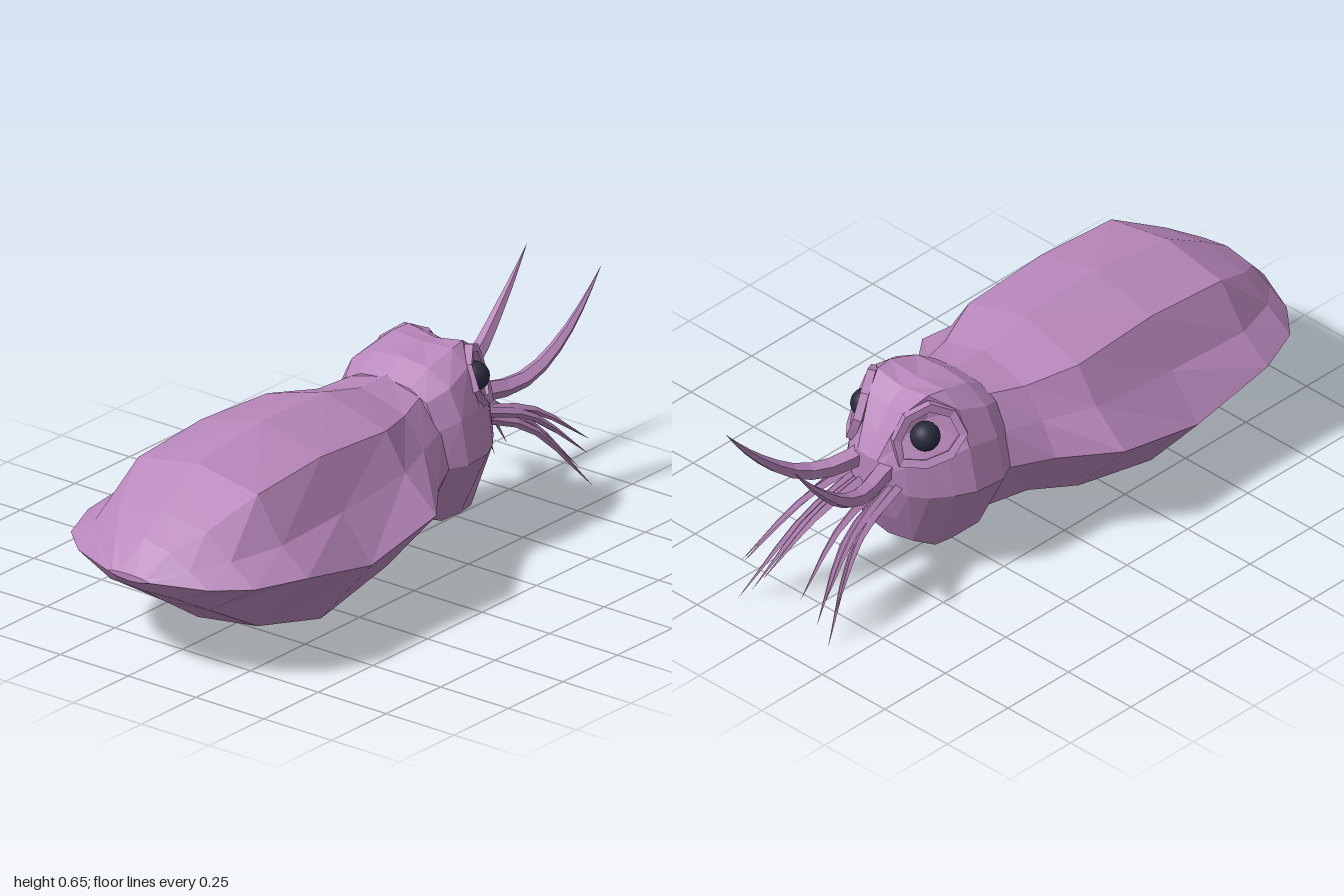
import * as THREE from 'three';

const skin = new THREE.MeshStandardMaterial({ color: 0xb887bb, flatShading: true, side: THREE.DoubleSide });
const dark = new THREE.MeshStandardMaterial({ color: 0x2b2a3c });

function mesh(name, geometry, material = skin) {
  const m = new THREE.Mesh(geometry, material);
  m.name = name;
  return m;
}

// Mirrored loft: each section is { z, half } where half runs [x, y] from top centre to bottom centre.
function loft(sections) {
  const rings = sections.map(({ z, half }) => [
    ...half.map(([x, y]) => [x, y, z]),
    ...half.slice(1, -1).reverse().map(([x, y]) => [-x, y, z]),
  ]);
  const n = rings[0].length, pos = [];
  const tri = (a, b, c) => pos.push(...a, ...b, ...c);
  for (let i = 0; i < rings.length - 1; i++) {
    for (let j = 0; j < n; j++) {
      const k = (j + 1) % n;
      const a = rings[i][j], b = rings[i][k], c = rings[i + 1][j], d = rings[i + 1][k];
      if (j < n / 2) { tri(a, b, c); tri(b, d, c); }
      else { tri(a, b, d); tri(a, d, c); }
    }
  }
  const centre = (r) => [0, (r[0][1] + r[n / 2][1]) / 2, r[0][2]];
  const first = rings[0], last = rings[rings.length - 1];
  for (let j = 0; j < n; j++) {
    const k = (j + 1) % n;
    tri(centre(first), first[k], first[j]);
    tri(centre(last), last[j], last[k]);
  }
  const g = new THREE.BufferGeometry();
  g.setAttribute('position', new THREE.Float32BufferAttribute(pos, 3));
  g.computeVertexNormals();
  return g;
}

// Tube whose radius follows a taper down to a point
function taperedArm(points, radius, steps, sides) {
  const curve = new THREE.CatmullRomCurve3(points.map((p) => new THREE.Vector3(...p)));
  const g = new THREE.TubeGeometry(curve, steps, radius, sides);
  const p = g.attributes.position, v = new THREE.Vector3();
  for (let i = 0; i < p.count; i++) {
    const t = Math.floor(i / (sides + 1)) / steps;
    const c = curve.getPointAt(t);
    v.fromBufferAttribute(p, i).sub(c).multiplyScalar(1 - Math.pow(t, 1.6)).add(c);
    p.setXYZ(i, v.x, v.y, v.z);
  }
  g.computeVertexNormals();
  return g;
}

const mirrorX = (pts, s) => pts.map(([x, y, z]) => [x * s, y, z]);

export function createModel() {
  const model = new THREE.Group();
  model.name = 'cuttlefish';

  // Mantle: z, then top, shoulder, upper flank, side, lower flank, bottom
  const mantle = [
    [1.0, [0, 0.32], [0.03, 0.32], [0.06, 0.317], [0.08, 0.312], [0.04, 0.303], [0, 0.3]],
    [0.93, [0, 0.408], [0.1, 0.39], [0.17, 0.35], [0.24, 0.308], [0.12, 0.25], [0, 0.245]],
    [0.84, [0, 0.467], [0.16, 0.44], [0.25, 0.37], [0.34, 0.308], [0.17, 0.2], [0, 0.185]],
    [0.68, [0, 0.56], [0.22, 0.52], [0.31, 0.385], [0.405, 0.308], [0.22, 0.11], [0, 0.08]],
    [0.39, [0, 0.597], [0.22, 0.542], [0.3, 0.39], [0.407, 0.253], [0.22, 0.037], [0, 0.002]],
    [0.09, [0, 0.587], [0.22, 0.523], [0.29, 0.41], [0.405, 0.308], [0.22, 0.1], [0, 0.067]],
    [-0.07, [0, 0.547], [0.16, 0.5], [0.23, 0.41], [0.285, 0.308], [0.17, 0.14], [0, 0.125]],
    [-0.2, [0, 0.545], [0.12, 0.515], [0.19, 0.42], [0.22, 0.308], [0.14, 0.14], [0, 0.125]],
  ];
  model.add(mesh('mantle', loft(mantle.map(([z, ...half]) => ({ z, half })))));

  // Head: the third and fourth points sink inwards around the eye sockets
  const head = [
    [-0.18, [0, 0.54], [0.09, 0.53], [0.15, 0.5], [0.19, 0.42], [0.215, 0.31], [0.13, 0.14], [0, 0.125]],
    [-0.25, [0, 0.585], [0.1, 0.575], [0.18, 0.53], [0.225, 0.44], [0.25, 0.31], [0.15, 0.11], [0, 0.09]],
    [-0.35, [0, 0.598], [0.11, 0.605], [0.165, 0.56], [0.21, 0.45], [0.24, 0.31], [0.14, 0.1], [0, 0.08]],
    [-0.41, [0, 0.59], [0.1, 0.608], [0.1, 0.53], [0.18, 0.43], [0.21, 0.31], [0.13, 0.1], [0, 0.08]],
    [-0.47, [0, 0.555], [0.075, 0.57], [0.085, 0.5], [0.145, 0.42], [0.165, 0.31], [0.1, 0.13], [0, 0.11]],
    [-0.515, [0, 0.49], [0.055, 0.5], [0.075, 0.46], [0.11, 0.41], [0.125, 0.32], [0.08, 0.22], [0, 0.2]],
    [-0.555, [0, 0.42], [0.04, 0.425], [0.055, 0.41], [0.065, 0.385], [0.07, 0.35], [0.04, 0.315], [0, 0.31]],
  ];
  model.add(mesh('head', loft(head.map(([z, ...half]) => ({ z, half })))));

  // Eyelid loop, centre line
  const lid = [
    [0.155, 0.555, -0.365], [0.105, 0.585, -0.44], [0.075, 0.52, -0.505],
    [0.095, 0.43, -0.52], [0.165, 0.425, -0.44], [0.195, 0.475, -0.36],
  ];
  // Long raised arm, centre line
  const raised = [
    [0.05, 0.4, -0.5], [0.065, 0.385, -0.59], [0.09, 0.385, -0.67], [0.11, 0.42, -0.76],
    [0.125, 0.49, -0.85], [0.132, 0.57, -0.93], [0.136, 0.655, -1.0],
  ];
  // Hanging arms: base, middle and tip
  const hanging = [
    [[0.03, 0.33, -0.51], [0.045, 0.27, -0.72], [0.075, 0.13, -0.91]],
    [[0.05, 0.32, -0.51], [0.075, 0.25, -0.72], [0.13, 0.06, -0.9]],
    [[0.07, 0.33, -0.5], [0.105, 0.23, -0.72], [0.18, 0.01, -0.905]],
    [[0.07, 0.35, -0.5], [0.11, 0.29, -0.72], [0.165, 0.15, -0.91]],
    [[0.09, 0.35, -0.5], [0.12, 0.28, -0.7], [0.185, 0.12, -0.88]],
  ];

  for (const [s, side] of [[1, 'left'], [-1, 'right']]) {
    const eye = mesh(side + 'Eye', new THREE.SphereGeometry(0.044, 16, 12), dark);
    eye.position.set(s * 0.12, 0.492, -0.44);
    model.add(eye);

    const loop = new THREE.CatmullRomCurve3(mirrorX(lid, s).map((p) => new THREE.Vector3(...p)), true);
    model.add(mesh(side + 'Eyelid', new THREE.TubeGeometry(loop, 8, 0.018, 4, true)));

    model.add(mesh(side + 'RaisedArm', taperedArm(mirrorX(raised, s), 0.032, 9, 5)));
    hanging.forEach((pts, i) => {
      model.add(mesh(side + 'HangingArm' + (i + 1), taperedArm(mirrorX(pts, s), 0.017, 6, 4)));
    });
  }
  return model;
}
